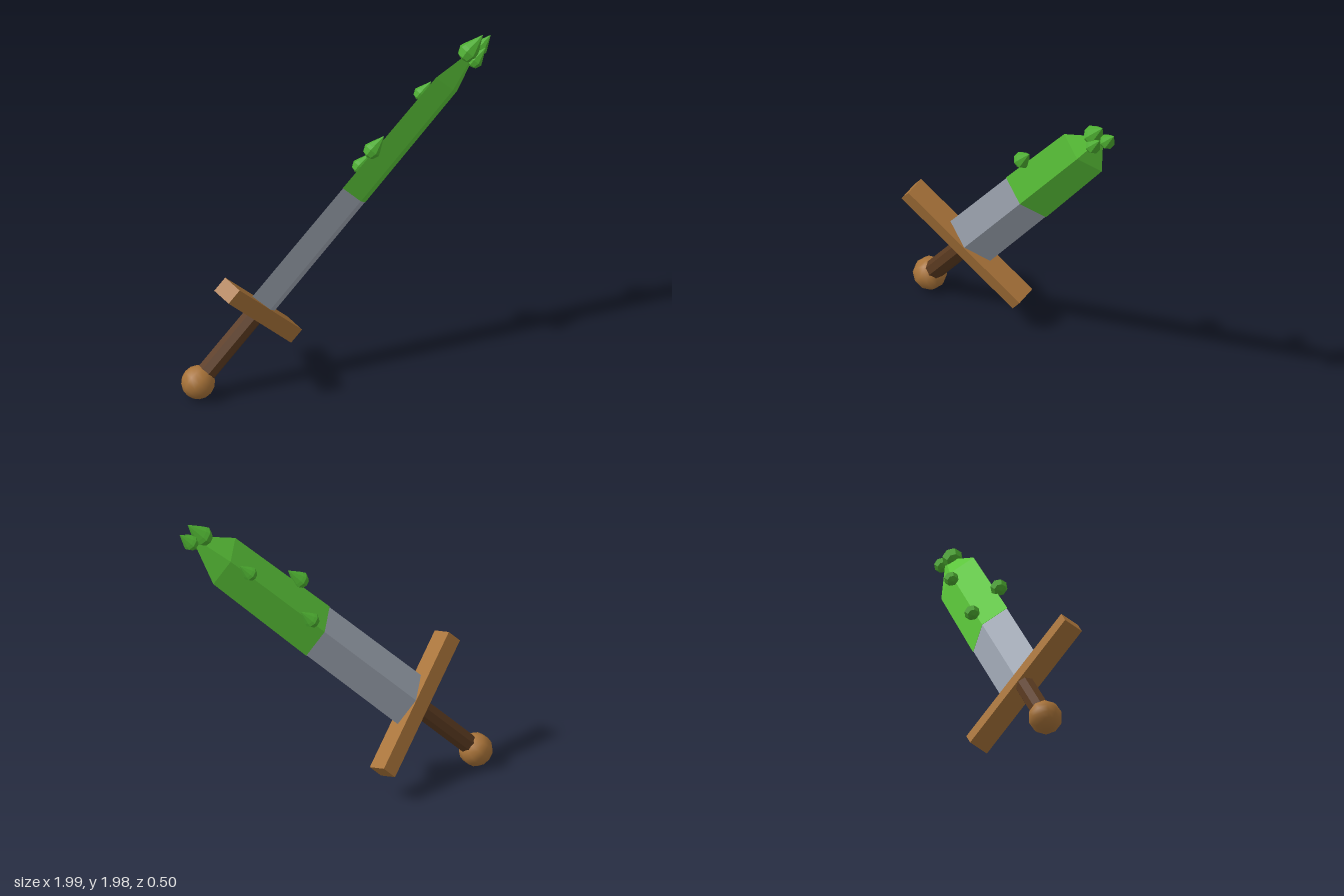
import * as THREE from 'three';

function material(name, color) {
  const m = new THREE.MeshStandardMaterial({ color });
  m.name = name;
  return m;
}

// Give every face its own normal for crisp facets
function faceted(geometry) {
  const g = geometry.toNonIndexed();
  g.computeVertexNormals();
  return g;
}

// Spin a [radius, height] profile with few sides; depth flattens it along z
function turned(profile, sides, depth = 1) {
  const points = profile.map(([r, y]) => new THREE.Vector2(r, y));
  return faceted(new THREE.LatheGeometry(points, sides).scale(1, 1, depth));
}

export function createModel() {
  const steel = material('steel', 0xa0a8b4);
  const green = material('slime green', 0x5cc83a);
  const darkGreen = material('spike green', 0x4cac30);
  const wood = material('light wood', 0xa87339);
  const darkWood = material('dark wood', 0x5a3a20);

  const model = new THREE.Group();
  model.name = 'sword';

  const add = (parent, name, geometry, mat) => {
    const mesh = new THREE.Mesh(geometry, mat);
    mesh.name = name;
    parent.add(mesh);
    return mesh;
  };

  // The sword leans 45 degrees and is rolled about its own length
  const lean = new THREE.Group();
  lean.name = 'leaningSword';
  lean.position.y = 1.005;
  lean.rotation.z = -Math.PI / 4;
  model.add(lean);
  const roll = new THREE.Group();
  roll.name = 'rolledSword';
  roll.rotation.y = THREE.MathUtils.degToRad(25);
  lean.add(roll);

  // Pommel, grip and crossguard
  add(roll, 'pommel', new THREE.SphereGeometry(0.1, 10, 8), wood).position.y = -1.27;
  add(roll, 'grip', faceted(new THREE.CylinderGeometry(0.06, 0.06, 0.53, 8)), darkWood).position.y = -0.98;
  add(roll, 'crossguard', new THREE.BoxGeometry(0.91, 0.1, 0.127), wood).position.y = -0.725;

  // Blade with a diamond cross-section, coated from the middle to the tip
  const depth = 0.37;
  add(roll, 'blade', turned([[0, -0.69], [0.163, -0.69], [0.16, 0.16]], 4, depth), steel);
  add(roll, 'bladeCoating', turned([[0, 0.145], [0.164, 0.145], [0.154, 0.985], [0, 1.285]], 4, depth), green);

  // Drop-shaped spikes pointing along the blade: x, y, z, size
  const spike = turned([[0, -0.05], [0.036, -0.037], [0.052, 0], [0.044, 0.02], [0, 0.11]], 8);
  const spikes = [
    [0.18, 1.425, 0.08, 1],
    [0.18, 1.24, -0.085, 0.9],
    [0.57, 1.63, -0.08, 0.85],
    [0.83, 1.89, 0.015, 1.2],
    [0.92, 1.88, -0.02, 0.9],
    [0.86, 1.84, 0.04, 0.9],
  ];
  spikes.forEach(([x, y, z, size], i) => {
    const mesh = add(model, `spike${i + 1}`, spike, darkGreen);
    mesh.position.set(x, y, z);
    mesh.rotation.z = -Math.PI / 4;
    mesh.scale.setScalar(size);
  });

  return model;
}
